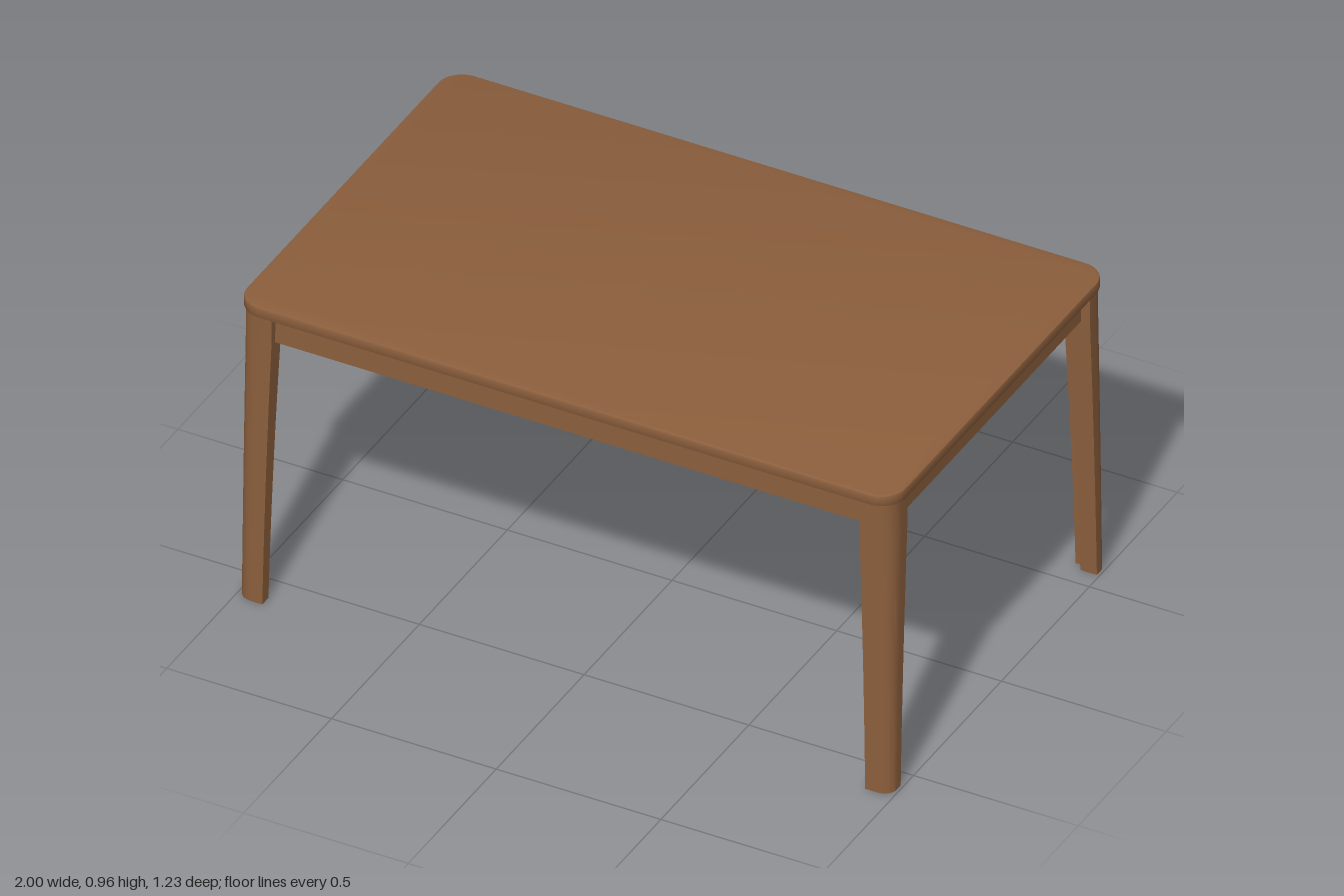
import * as THREE from 'three';
import { toCreasedNormals } from 'three/addons/utils/BufferGeometryUtils.js';

const TOP_Y = 0.965, SLAB = 0.035, APRON_BOTTOM = 0.845;
const LEG_H = TOP_Y - SLAB;

// Rounded rectangle tabletop with softly eased edges
function tabletopGeometry() {
  const b = 0.005, x = 1 - b, z = 0.615 - b, r = 0.068;
  const s = new THREE.Shape();
  s.absarc(x - r, z - r, r, 0, Math.PI / 2);
  s.absarc(-x + r, z - r, r, Math.PI / 2, Math.PI);
  s.absarc(-x + r, -z + r, r, Math.PI, Math.PI * 1.5);
  s.absarc(x - r, -z + r, r, Math.PI * 1.5, Math.PI * 2);
  s.closePath();
  const g = new THREE.ExtrudeGeometry(s, {
    depth: SLAB - 2 * b, bevelEnabled: true, bevelSize: b, bevelThickness: b,
    bevelSegments: 2, curveSegments: 8,
  });
  g.rotateX(-Math.PI / 2).translate(0, LEG_H + b, 0);
  return toCreasedNormals(g, 0.6);
}

// Leg with a rounded outer corner and a notched inner corner, tapering to the foot
function legGeometry(sx, sz) {
  const w = 0.1, d = 0.088, r = 0.055, n = 0.035;
  const p = (x, z) => [sx * x, -sz * z];   // offsets inward from the outer corner
  const s = new THREE.Shape();
  s.moveTo(...p(-w, 0));
  s.lineTo(...p(-r, 0));
  s.bezierCurveTo(...p(-r * 0.45, 0), ...p(0, -r * 0.45), ...p(0, -r));
  s.lineTo(...p(0, -d));
  s.lineTo(...p(-w + n, -d));
  s.lineTo(...p(-w + n, -d + n));
  s.lineTo(...p(-w, -d + n));
  s.closePath();
  const g = new THREE.ExtrudeGeometry(s, {
    depth: LEG_H, steps: 10, bevelEnabled: false, curveSegments: 8,
  });
  g.rotateX(-Math.PI / 2);
  const pos = g.attributes.position;
  for (let i = 0; i < pos.count; i++) {
    const y = pos.getY(i);
    const t = Math.max(0, 1 - y / APRON_BOTTOM);
    const k = 0.55 * t + 0.45 * (1 - (1 - t) ** 2);
    pos.setX(i, sx * 0.992 + pos.getX(i) * (1 - 0.23 * k));
    pos.setZ(i, sz * (0.607 + 0.009 * t) + pos.getZ(i) * (1 - 0.34 * k));
  }
  return toCreasedNormals(g, 0.6);
}

export function createModel() {
  const table = new THREE.Group();
  table.name = 'table';
  const wood = new THREE.MeshStandardMaterial({ color: 0x8b5e3c });
  wood.name = 'brown wood';
  const add = (name, geometry, x = 0, y = 0, z = 0) => {
    const mesh = new THREE.Mesh(geometry, wood);
    mesh.name = name;
    mesh.position.set(x, y, z);
    table.add(mesh);
  };

  add('tabletop', tabletopGeometry());

  // Legs
  for (const sx of [1, -1]) for (const sz of [1, -1]) {
    add(`${sz > 0 ? 'front' : 'back'}${sx > 0 ? 'Left' : 'Right'}Leg`, legGeometry(sx, sz));
  }

  // Aprons joining the legs under the top
  const h = LEG_H - APRON_BOTTOM, y = APRON_BOTTOM + h / 2, t = 0.03;
  for (const s of [1, -1]) {
    add(s > 0 ? 'frontApron' : 'backApron', new THREE.BoxGeometry(1.84, h, t), 0, y, s * 0.57);
    add(s > 0 ? 'leftApron' : 'rightApron', new THREE.BoxGeometry(t, h, 1.08), s * 0.95, y, 0);
  }
  return table;
}
